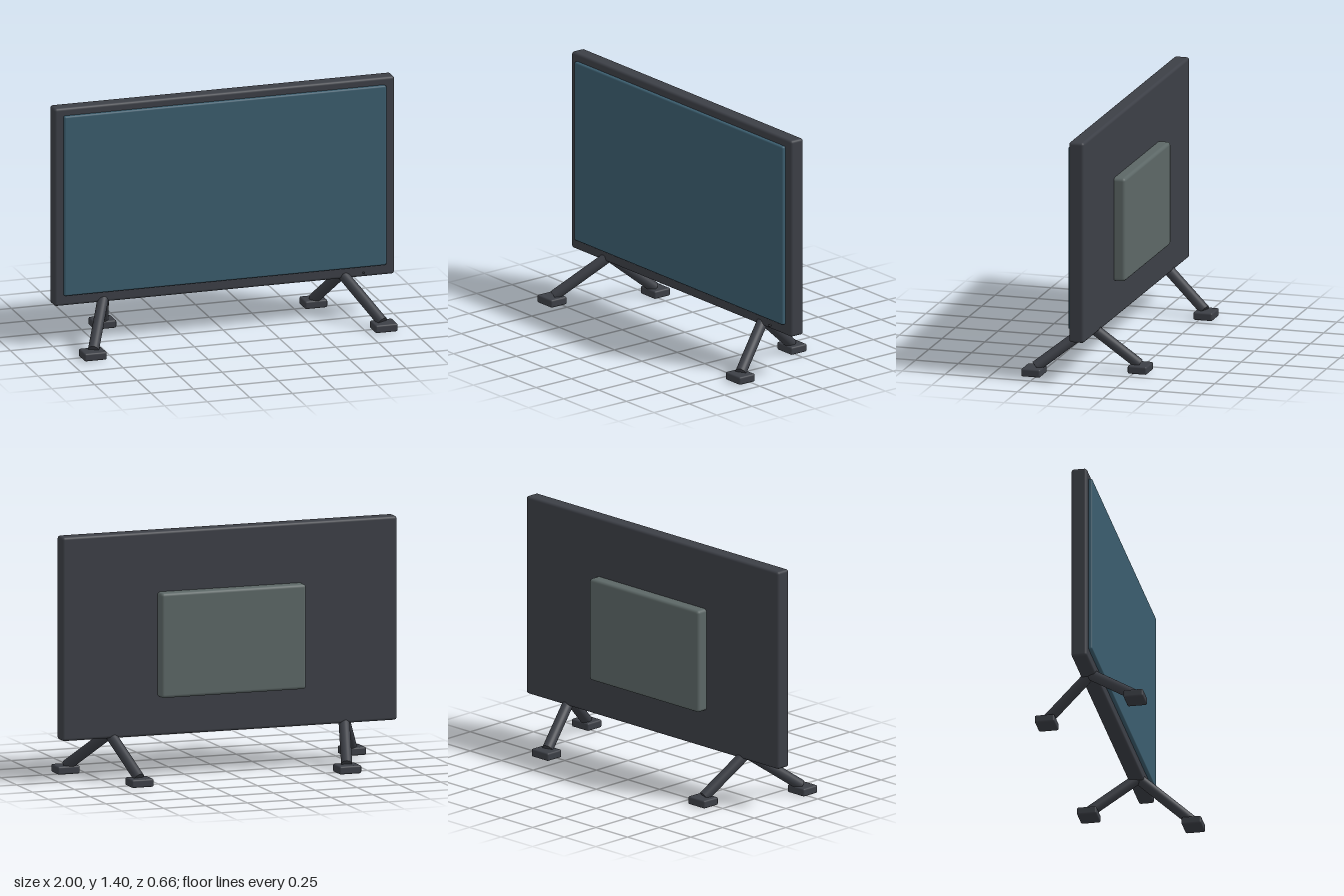
import * as THREE from 'three';
import { RoundedBoxGeometry } from 'three/addons/geometries/RoundedBoxGeometry.js';

const material = (name, color) => {
  const m = new THREE.MeshStandardMaterial({ color });
  m.name = name;
  return m;
};

export function createModel() {
  const group = new THREE.Group();
  group.name = 'television';
  const casing = material('charcoal casing', 0x3c3f46);
  const glass = material('blue glass', 0x3b5d6e);
  const cover = material('grey cover', 0x5c6766);

  const add = (name, geometry, mat) => {
    const mesh = new THREE.Mesh(geometry, mat);
    mesh.name = name;
    group.add(mesh);
    return mesh;
  };

  // Rounded box given by its minimum and maximum corners
  const box = (name, min, max, radius, mat) => {
    const size = max.map((v, i) => v - min[i]);
    const mesh = add(name, new RoundedBoxGeometry(...size, 3, radius), mat);
    mesh.position.set(...max.map((v, i) => (v + min[i]) / 2));
  };

  // Round bar between two points
  const bar = (name, from, to, radius, mat) => {
    const a = new THREE.Vector3(...from);
    const b = new THREE.Vector3(...to);
    const mesh = add(name, new THREE.CylinderGeometry(radius, radius, a.distanceTo(b), 24), mat);
    mesh.position.copy(a).add(b).multiplyScalar(0.5);
    mesh.quaternion.setFromUnitVectors(new THREE.Vector3(0, 1, 0), b.sub(a).normalize());
  };

  // Panel: casing, raised screen and rear electronics cover
  box('casing', [-1, 0.24, -0.062], [1, 1.397, 0.027], 0.016, casing);
  box('screen', [-0.948, 0.302, 0.005], [0.946, 1.353, 0.048], 0.01, glass);
  box('rearCover', [-0.433, 0.46, -0.128], [0.433, 1.055, -0.04], 0.018, cover);

  // Small sensor stud on the lower bezel
  bar('sensor', [0.815, 0.265, 0.02], [0.815, 0.265, 0.045], 0.005, casing);

  // Two splayed legs with pads on each side
  for (const side of [-1, 1]) {
    for (const [label, x, z] of [['front', 0.855, 0.275], ['rear', 0.62, -0.275]]) {
      const s = Math.sign(z);
      bar(label + 'Leg', [side * 0.7, 0.262, -0.01], [side * (x - (s > 0 ? 0.006 : 0)), 0.045, s * 0.267], 0.031, casing);
      box(label + 'Foot', [side * x - 0.066, 0, z - 0.056], [side * x + 0.066, 0.046, z + 0.056], 0.01, casing);
    }
  }
  return group;
}
